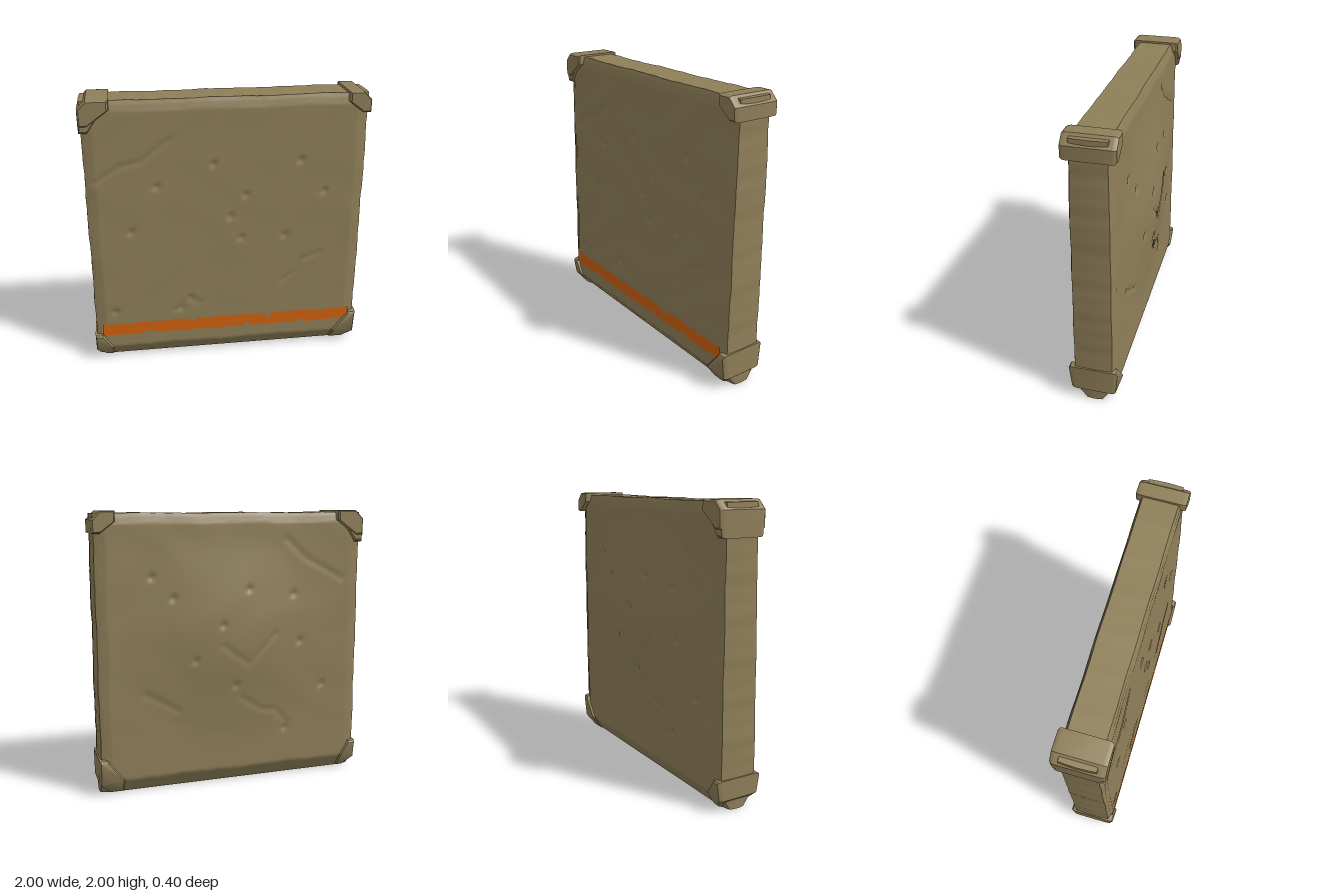
import * as THREE from 'three';
import { toCreasedNormals } from 'three/addons/utils/BufferGeometryUtils.js';
import { ConvexGeometry } from 'three/addons/geometries/ConvexGeometry.js';

const TOP = 1.985;

// Chips and cracks, in x and y
const frontPits = [[-0.5, 1.37], [-0.69, 1.04], [0.1, 0.95], [0.42, 0.95], [0.13, 1.28], [0.7, 1.28],
  [0.52, 1.52], [0.02, 1.12], [-0.28, 0.48], [-0.35, 0.4], [-0.1, 1.52], [-0.84, 0.4]];
const backPits = [[0.45, 1.4], [0.1, 1.2], [-0.1, 1.45], [-0.5, 1.05], [-0.45, 1.4], [0.3, 0.95],
  [0.6, 1.55], [-0.4, 0.38], [-0.7, 0.7], [0.0, 0.75]];
const frontCracks = [[[-0.92, 1.42], [-0.75, 1.53], [-0.6, 1.56], [-0.4, 1.71]],
  [[0.4, 0.57], [0.5, 0.64], [0.55, 0.74], [0.68, 0.79]], [[-0.4, 0.38], [-0.28, 0.48], [-0.22, 0.44]]];
const backCracks = [[[-0.4, 1.8], [-0.55, 1.66], [-0.85, 1.5]], [[0.66, 0.72], [0.55, 0.66], [0.42, 0.58]],
  [[-0.05, 0.65], [-0.2, 0.55], [-0.32, 0.53], [-0.42, 0.42]], [[0.1, 1.05], [-0.1, 0.9], [-0.3, 1.12]]];

const smooth = (a, b, v) => THREE.MathUtils.smoothstep(v, a, b);
const wobble = (t, seed) =>
  0.5 * Math.sin(t * 9 + seed) + 0.3 * Math.sin(t * 23 + seed * 2.3) + 0.2 * Math.sin(t * 47 + seed * 4.1);

function segmentDistance(x, y, [ax, ay], [bx, by]) {
  const dx = bx - ax, dy = by - ay;
  const t = THREE.MathUtils.clamp(((x - ax) * dx + (y - ay) * dy) / (dx * dx + dy * dy), 0, 1);
  return Math.hypot(x - ax - t * dx, y - ay - t * dy);
}

// Depth of the surface wear at a point
function wear(x, y, pits, cracks) {
  let depth = 0;
  for (const [px, py] of pits) depth += 0.016 * Math.exp(-(((x - px) ** 2 + (y - py) ** 2) / 0.0005));
  for (const line of cracks) {
    for (let i = 1; i < line.length; i++) {
      const d = segmentDistance(x, y, line[i - 1], line[i]);
      depth = Math.max(depth, 0.007 * Math.exp(-d * d / 0.0004));
    }
  }
  const rough = 0.0025 * Math.sin(x * 7 + 2 * Math.sin(y * 5)) * Math.sin(y * 8 + 1.5 * Math.sin(x * 6));
  return depth + rough * smooth(0.36, 0.5, y);
}

// Worn rim: falls away at the border, with a fine groove around the panel
function rimDrop(x, y) {
  const side = 0.985 - Math.abs(x) + 0.006 * wobble(y, 1 + Math.sign(x));
  const d = Math.min(side, TOP - y + 0.006 * wobble(x, 3));
  return 0.022 * (1 - smooth(0, 0.05, d)) + 0.009 * Math.exp(-(((d - 0.045) / 0.012) ** 2));
}

const frontPlane = (y) => 0.182 - 0.016 * y;
const lowerBevel = (x, y) => 1 - Math.min(1, Math.max(0, y / (0.11 + 0.008 * wobble(x, 5))));

function frontZ(x, y) {
  return frontPlane(y) - rimDrop(x, y) - wear(x, y, frontPits, frontCracks) - 0.085 * lowerBevel(x, y);
}

function backZ(x, y) {
  const r = Math.min(1, Math.hypot(x / 0.88, (y - 1.1) / 0.85));
  const bulge = 0.066 * (1 - r) * (1 - r) * (1 + 2 * r) ;
  return -0.13 - bulge + rimDrop(x, y) + wear(x, y, backPits, backCracks) + 0.075 * lowerBevel(x, y);
}

// Main slab: a fine box whose two faces follow the rules above
function slabGeometry() {
  const geo = new THREE.BoxGeometry(1.97, TOP, 1, 120, 120, 4);
  geo.translate(0, TOP / 2, 0);
  const p = geo.attributes.position;
  for (let i = 0; i < p.count; i++) {
    const x = p.getX(i), y = p.getY(i), t = p.getZ(i) + 0.5;
    const z = THREE.MathUtils.lerp(backZ(x, y), frontZ(x, y), t);
    const belly = 0.006 * Math.sin(Math.PI * t);
    const grow = 1 + belly + 0.004 * wobble(y, x > 0 ? 1 : 4);
    p.setXYZ(i, x * grow, y + 0.004 * wobble(x, 2) * smooth(1.7, TOP, y), z);
  }
  geo.computeVertexNormals();
  return geo;
}

// Corner cap: hull of a chamfered outline, softened towards front and back
function capGeometry({ side, top, w, h, c, front, back }) {
  const outline = [[1 - c, 0], [1, c], [1, h], [0.945, h], [1 - w, 0.07], [1 - w, 0]];
  if (!top) outline[4][1] = 0.11;
  const cx = 1 - w * 0.45, cy = h * 0.45;
  const points = [];
  for (const [px, py] of outline) {
    for (const [scale, inset] of [[1, 0.03], [0.96, 0.01], [0.86, 0]]) {
      const x = cx + (px - cx) * scale, v = cy + (py - cy) * scale;
      const taper = top ? 0 : Math.max(0, 1 - v / 0.11);
      const y = top ? 2 - v : v;
      points.push(new THREE.Vector3(side * x, y, front - inset - 0.08 * taper));
      points.push(new THREE.Vector3(side * x, y, back + inset + 0.07 * taper));
    }
  }
  return toCreasedNormals(new ConvexGeometry(points), 0.6);
}

// Painted stripe with chipped edges
function stripeGeometry() {
  const notches = [[-0.72, 0.1], [-0.6, 0.2], [-0.27, 0.3], [0.15, 0.25], [0.31, 0.55], [0.55, 0.3], [0.72, 0.15]];
  const chip = (x, seed) => 0.004 * Math.round(wobble(x * 2, seed));
  const upper = [], lower = [];
  for (let i = 0; i <= 94; i++) {
    const x = -0.94 + i * 0.02;
    let cut = 0, cutTop = 0;
    notches.forEach(([nx, depth], k) => {
      if (Math.abs(x - nx) > 0.024) return;
      if (k % 2) cut = depth * 0.08; else cutTop = depth * 0.08;
    });
    upper.push(new THREE.Vector2(x, 0.308 - cutTop + Math.min(0, chip(x, 1))));
    lower.push(new THREE.Vector2(x, 0.21 + cut + chip(x, 6)));
  }
  const geo = new THREE.ShapeGeometry(new THREE.Shape([...lower, ...upper.reverse()]));
  const p = geo.attributes.position;
  for (let i = 0; i < p.count; i++) p.setZ(i, frontPlane(p.getY(i)) + 0.004);
  geo.computeVertexNormals();
  return geo;
}

export function createModel() {
  const stone = new THREE.MeshStandardMaterial({ color: 0x8f7f59 });
  const orange = new THREE.MeshStandardMaterial({ color: 0xd0600f });
  const model = new THREE.Group();
  model.name = 'stoneSlab';
  const add = (name, geo, material) => {
    const mesh = new THREE.Mesh(geo, material);
    mesh.name = name;
    model.add(mesh);
  };

  add('slab', slabGeometry(), stone);
  add('paintedStripe', stripeGeometry(), orange);

  const caps = {
    topRightCap: { side: -1, top: true, w: 0.21, h: 0.18, c: 0.06, front: 0.18, back: -0.16 },
    topRightChip: { side: -1, top: true, w: 0.17, h: 0.23, c: 0.07, front: 0.168, back: -0.15 },
    topLeftCap: { side: 1, top: true, w: 0.16, h: 0.15, c: 0.06, front: 0.18, back: -0.16 },
    bottomRightCap: { side: -1, top: false, w: 0.13, h: 0.22, c: 0.08, front: 0.196, back: -0.145 },
    bottomLeftCap: { side: 1, top: false, w: 0.18, h: 0.27, c: 0.08, front: 0.2, back: -0.145 },
  };
  for (const [name, spec] of Object.entries(caps)) add(name, capGeometry(spec), stone);
  return model;
}
